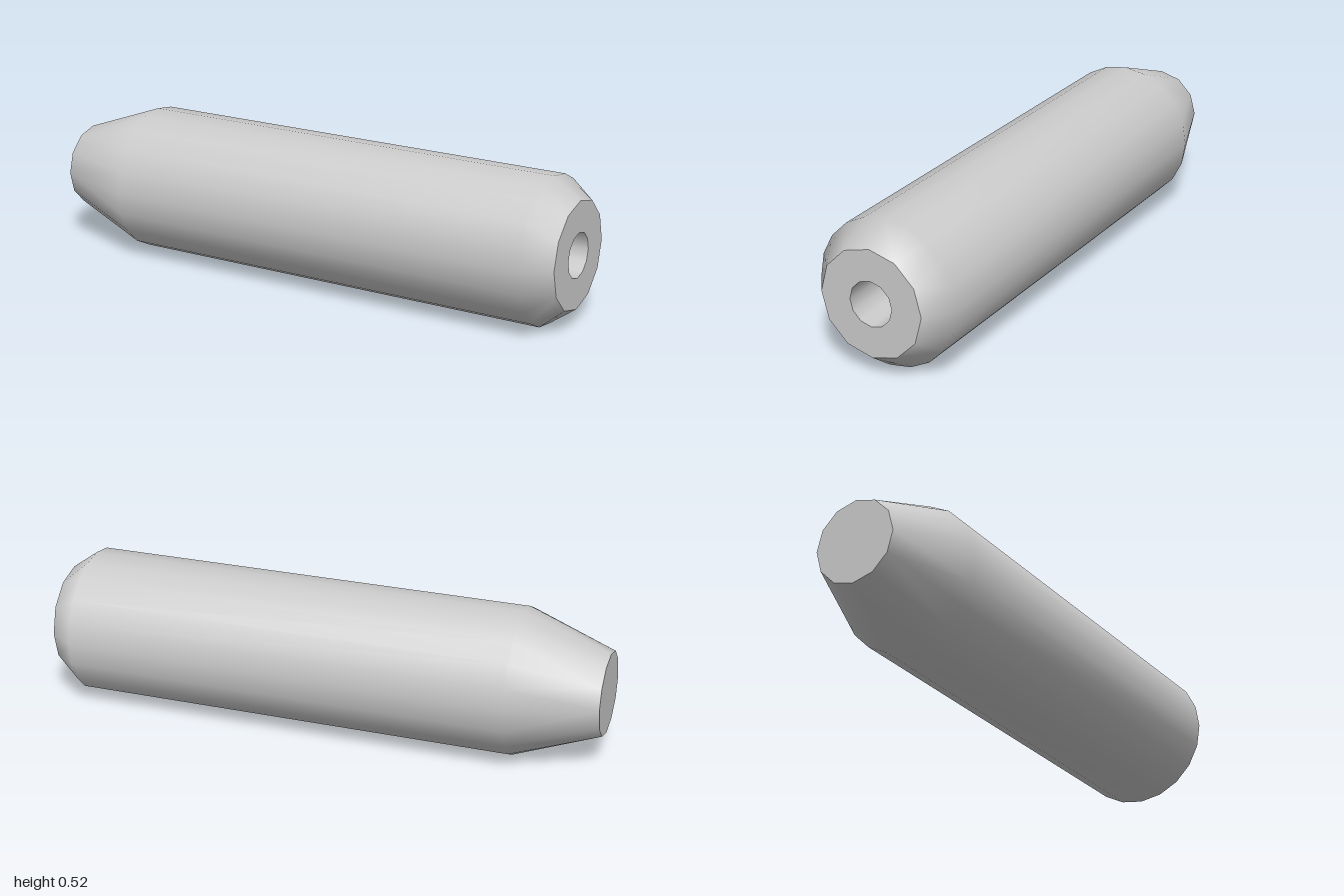
import * as THREE from 'three';

const AXIS_Y = 0.26;

// Skin a list of rings [x, radius, sides] along the x axis; side counts may differ.
function loft(rings) {
  const positions = [], index = [], starts = [];
  for (const [x, r, n] of rings) {
    starts.push(positions.length / 3);
    for (let i = 0; i < n; i++) {
      const a = (i / n) * Math.PI * 2;
      positions.push(x, r * Math.cos(a), r * Math.sin(a));
    }
  }
  for (let k = 0; k + 1 < rings.length; k++) {
    const n = rings[k][2], m = rings[k + 1][2];
    const A = (i) => starts[k] + (i % n);
    const B = (j) => starts[k + 1] + (j % m);
    let i = 0, j = 0;
    // Advance around both rings, always stepping the one that lags in angle
    while (i < n || j < m) {
      if (j >= m || (i < n && (i + 1) * m <= (j + 1) * n)) {
        index.push(A(i), A(i + 1), B(j));
        i++;
      } else {
        index.push(A(i), B(j + 1), B(j));
        j++;
      }
    }
  }
  const g = new THREE.BufferGeometry();
  g.setAttribute('position', new THREE.Float32BufferAttribute(positions, 3));
  g.setIndex(index);
  g.computeVertexNormals();
  return g;
}

export function createModel() {
  const group = new THREE.Group();
  group.name = 'taperedCylinder';
  const material = new THREE.MeshStandardMaterial({ color: 0xcccccc });
  const add = (name, geometry, x = 0) => {
    const mesh = new THREE.Mesh(geometry, material);
    mesh.name = name;
    mesh.position.set(x, AXIS_Y, 0);
    group.add(mesh);
    return mesh;
  };

  const tip = 0.148, radius = 0.26, rim = 0.191, bore = 0.08, boreEnd = 0.5;

  // Outer skin: long taper, straight barrel, short chamfer
  add('body', loft([[-1, tip, 12], [-0.695, radius, 20], [0.905, radius, 20], [1, rim, 12]]));

  // Closed narrow end
  add('tipCap', new THREE.CircleGeometry(tip, 12), -1).rotation.y = -Math.PI / 2;

  // Wide end: flat ring around a blind hole
  add('endRing', loft([[1, rim, 12], [1, bore, 12]]));
  add('boreWall', loft([[1, bore, 12], [boreEnd, bore, 12]]));
  add('boreFloor', new THREE.CircleGeometry(bore, 12), boreEnd).rotation.y = Math.PI / 2;

  return group;
}
